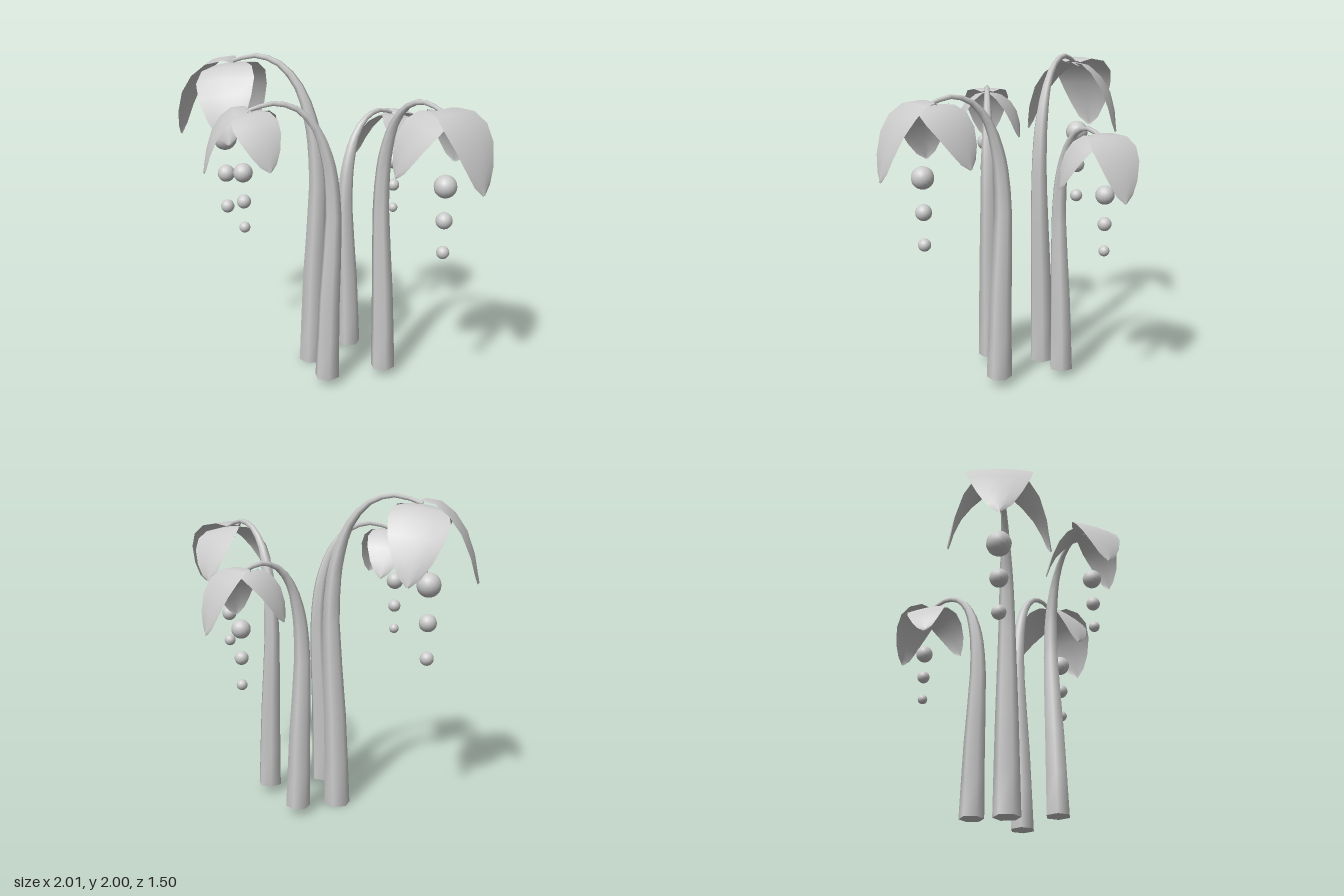
import * as THREE from 'three';

const material = new THREE.MeshStandardMaterial({ color: 0xcccccc });
const thinMaterial = new THREE.MeshStandardMaterial({ color: 0xcccccc, side: THREE.DoubleSide });

// Surface through rows of points; rows all hold the same number of points
function loft(rows, closed) {
  const n = rows[0].length, pos = [], idx = [];
  rows.forEach(row => row.forEach(p => pos.push(p.x, p.y, p.z)));
  for (let i = 0; i < rows.length - 1; i++) {
    for (let j = 0; j < (closed ? n : n - 1); j++) {
      const a = i * n + j, b = i * n + (j + 1) % n, c = a + n, d = b + n;
      idx.push(a, c, b, b, c, d);
    }
  }
  const geo = new THREE.BufferGeometry();
  geo.setAttribute('position', new THREE.Float32BufferAttribute(pos, 3));
  geo.setIndex(idx);
  geo.computeVertexNormals();
  return geo;
}

// Stem stations: share of reach, share of height, share of base radius
const STEM = [
  [0, 0, 1], [-0.035, 0.3, 0.86], [-0.09, 0.6, 0.66], [-0.06, 0.74, 0.57], [0, 0.82, 0.49],
  [0.13, 0.91, 0.35], [0.37, 0.978, 0.24], [0.67, 1, 0.19], [1, 0.977, 0.15],
];

// Tapered, six-sided stem that arches from its base to the flower
function stem(f) {
  const [bx, by, bz] = f.base, [ex, ez] = f.end;
  const curve = new THREE.CatmullRomCurve3(STEM.map(([d, h]) => new THREE.Vector3(
    bx + (ex - bx) * d, by + (f.top - by) * h, bz + (ez - bz) * d)));
  const side = new THREE.Vector3(-(ez - bz), 0, ex - bx).normalize();
  const rows = [], steps = 16, last = STEM.length - 1;
  for (let i = 0; i <= steps; i++) {
    const t = i / steps, k = Math.min(Math.floor(t * last), last - 1);
    const r = f.radius * THREE.MathUtils.lerp(STEM[k][2], STEM[k + 1][2], t * last - k);
    const c = curve.getPoint(t);
    const tangent = i === 0 ? new THREE.Vector3(0, 1, 0) : curve.getTangent(t);
    const across = new THREE.Vector3().crossVectors(tangent, side).normalize();
    rows.push(Array.from({ length: 6 }, (_, j) => {
      const a = -j / 6 * Math.PI * 2;
      return c.clone().addScaledVector(side, r * Math.cos(a)).addScaledVector(across, r * Math.sin(a));
    }));
  }
  const group = new THREE.Group();
  group.name = 'stem';
  const tube = new THREE.Mesh(loft(rows, true), thinMaterial);
  tube.name = 'stemTube';
  group.add(tube);
  // Flat ends
  [[rows[0], 'stemFoot'], [rows[steps], 'stemTip']].forEach(([ring, name]) => {
    const centre = ring.reduce((s, p) => s.add(p), new THREE.Vector3()).divideScalar(6);
    const cap = new THREE.Mesh(loft([ring, ring.map(() => centre)], true), thinMaterial);
    cap.name = name;
    group.add(cap);
  });
  return group;
}

// Petal stations: distance out, height, half width
const PETAL = [
  [-0.03, -0.01, 0.05], [0.01, 0.012, 0.115], [0.1, -0.005, 0.17], [0.18, -0.07, 0.195],
  [0.25, -0.17, 0.175], [0.3, -0.3, 0.125], [0.322, -0.4, 0.07], [0.335, -0.46, 0.005],
];

// Drooping petal pointing along +x
function petalGeometry() {
  const rows = PETAL.map(([r, y, w]) => [-1, -0.5, 0, 0.5, 1].map(u =>
    new THREE.Vector3(r - 0.01 * u * u, y - 0.01 * u * u, -u * w)));
  return loft(rows, false);
}

// Radii of the three hanging beads
const BEADS = [0.075, 0.055, 0.043];

// Side petals lean forward with the nodding head
const NOD = THREE.MathUtils.degToRad(8);

// heading: compass angle of the outer petal in degrees; sides: the two others
// sideDrop: how far the side petals hang compared with the outer one
const FLOWERS = [
  { base: [-0.135, 0, 0.035], end: [-0.65, 0.03], top: 1.985, radius: 0.083, size: 1, sideDrop: 0.95,
    heading: 184, sides: [99, 278], beadAt: [-0.7, 0.03], beadY: [1.46, 1.23, 1.01] },
  { base: [0.055, 0.05, 0.325], end: [-0.345, 0.54], top: 1.785, radius: 0.077, size: 0.74, sideDrop: 0.87,
    heading: 210, sides: [96, -47], beadAt: [-0.365, 0.57], beadY: [1.4, 1.23, 1.075] },
  { base: [0.36, 0.05, 0.1], end: [0.73, 0.335], top: 1.795, radius: 0.078, size: 0.88, sideDrop: 0.83,
    heading: -32, sides: [76, 224], beadAt: [0.755, 0.365], beadY: [1.35, 1.15, 0.96] },
  { base: [0.055, 0.045, -0.187], end: [0.265, -0.515], top: 1.605, radius: 0.077, size: 0.74, sideDrop: 0.83,
    heading: 55, sides: [174, -47], beadAt: [0.27, -0.545], beadY: [1.24, 1.07, 0.91] },
];

export function createModel() {
  const model = new THREE.Group();
  model.name = 'droopingFlowers';
  const petalGeo = petalGeometry();
  const rad = THREE.MathUtils.degToRad;

  FLOWERS.forEach(f => {
    const flower = new THREE.Group();
    flower.name = 'flower';
    flower.add(stem(f));
    const endY = f.base[1] + (f.top - f.base[1]) * 0.977;

    // Outer petal overlaps the two side petals
    const outer = new THREE.Mesh(petalGeo, thinMaterial);
    outer.name = 'outerPetal';
    outer.scale.setScalar(f.size * 1.03);
    outer.rotation.y = rad(f.heading);
    outer.position.set(f.end[0], endY + 0.02 * f.size, f.end[1]);
    flower.add(outer);

    const sidePetals = new THREE.Group();
    sidePetals.name = 'sidePetals';
    sidePetals.rotation.set(0, rad(f.heading), -NOD, 'YZX');
    sidePetals.position.set(f.end[0], endY - 0.015 * f.size, f.end[1]);
    f.sides.forEach(deg => {
      const petal = new THREE.Mesh(petalGeo, thinMaterial);
      petal.name = 'sidePetal';
      petal.scale.set(f.size * 0.93, f.size * f.sideDrop, f.size * 0.93);
      petal.rotation.y = rad(deg - f.heading);
      sidePetals.add(petal);
    });
    flower.add(sidePetals);

    // Beads shrink downwards
    BEADS.forEach((r, i) => {
      const bead = new THREE.Mesh(new THREE.SphereGeometry(r * f.size, 16, 12), material);
      bead.name = 'bead';
      bead.position.set(f.beadAt[0], f.beadY[i], f.beadAt[1]);
      flower.add(bead);
    });
    model.add(flower);
  });
  return model;
}
